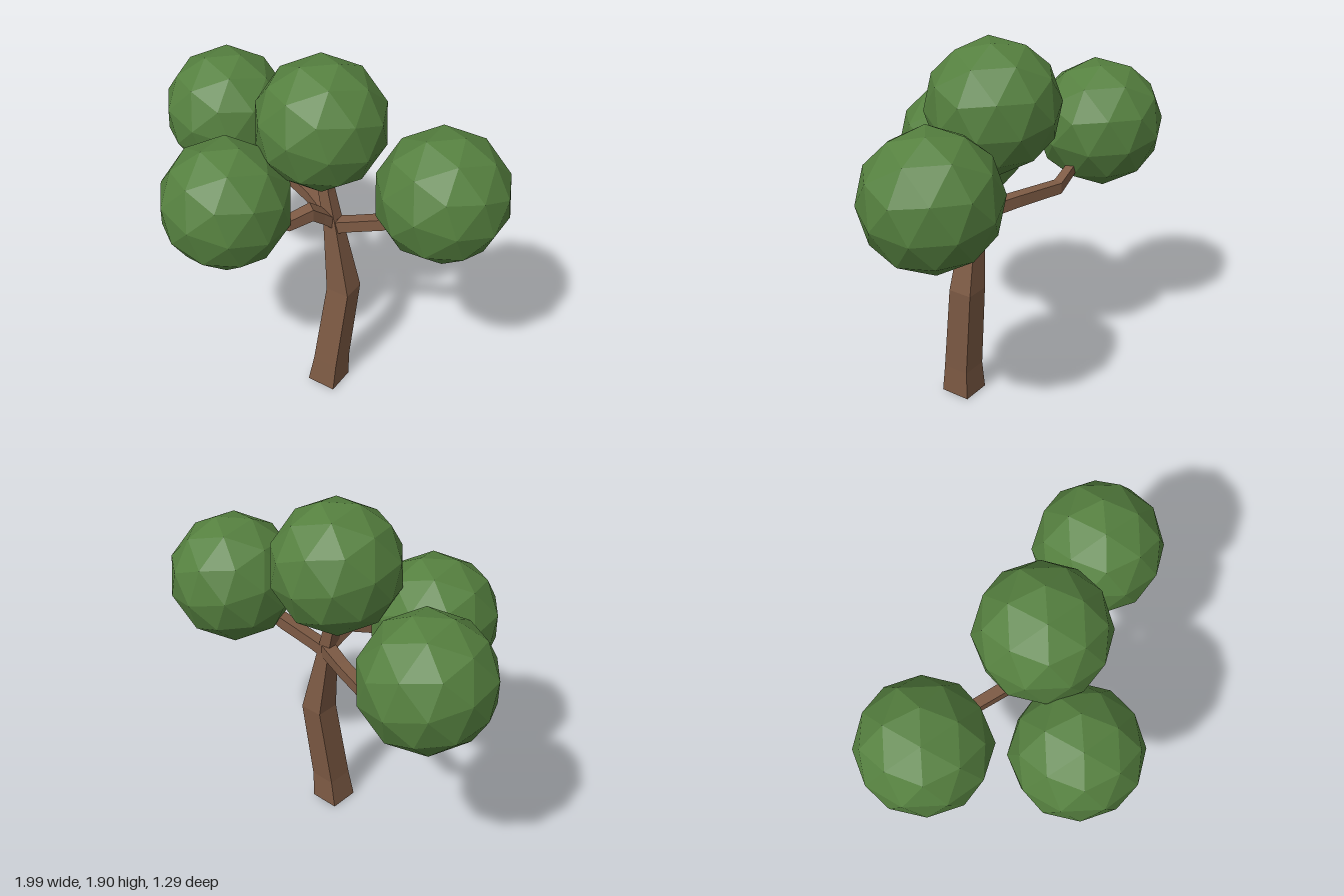
import * as THREE from 'three';

const bark = new THREE.MeshStandardMaterial({ color: 0x7d5a44, flatShading: true });
const leaf = new THREE.MeshStandardMaterial({ color: 0x55803f, flatShading: true });

// Four-sided tapering limb: each point is [x, y, z, halfWidth], section spanned by u and v
function limb(name, points, u, v) {
  const pos = [], index = [];
  const corners = [[-1, -1], [1, -1], [1, 1], [-1, 1]];
  points.forEach(([x, y, z, h], i) => {
    for (const [a, b] of corners) {
      const p = new THREE.Vector3(x, y, z).addScaledVector(u, a * h).addScaledVector(v, b * h);
      pos.push(p.x, p.y, p.z);
    }
    if (i === 0) return;
    for (let j = 0; j < 4; j++) {
      const k = (j + 1) % 4, lo = (i - 1) * 4, hi = i * 4;
      index.push(lo + j, lo + k, hi + k, lo + j, hi + k, hi + j);
    }
  });
  const e = (points.length - 1) * 4;
  index.push(0, 3, 2, 0, 2, 1, e, e + 1, e + 2, e, e + 2, e + 3);
  const indexed = new THREE.BufferGeometry();
  indexed.setAttribute('position', new THREE.Float32BufferAttribute(pos, 3));
  indexed.setIndex(index);
  const geo = indexed.toNonIndexed();
  geo.computeVertexNormals();
  const mesh = new THREE.Mesh(geo, bark);
  mesh.name = name;
  return mesh;
}

// Branch: the section stays upright and square to the overall heading
function branch(name, points) {
  const a = points[0], b = points[points.length - 1];
  const up = new THREE.Vector3(0, 1, 0);
  const heading = new THREE.Vector3(b[0] - a[0], 0, b[2] - a[2]).normalize();
  return limb(name, points, up.clone().cross(heading), up);
}

// Faceted foliage ball, turned so that one edge lies across the top
function foliageGeometry() {
  const geo = new THREE.IcosahedronGeometry(0.336, 1);
  const z = new THREE.Vector3(-0.06, 0.315, 0.09).normalize();
  const y = new THREE.Vector3(0.08, 0.325, -0.06);
  y.addScaledVector(z, -y.dot(z)).normalize();
  const x = y.clone().cross(z);
  return geo.applyMatrix4(new THREE.Matrix4().makeBasis(x, y, z));
}

export function createModel() {
  const tree = new THREE.Group();
  tree.name = 'tree';

  // Bent trunk, continuing up into the top foliage
  tree.add(limb('trunk', [
    [0.207, 0, -0.053, 0.08],
    [0.218, 0.16, -0.062, 0.07],
    [0.24, 0.64, -0.115, 0.064],
    [0.172, 1.03, -0.1, 0.037],
    [0.12, 1.22, -0.1, 0.031],
    [0.08, 1.42, -0.11, 0.026],
  ], new THREE.Vector3(0.99, 0, -0.14), new THREE.Vector3(-0.14, 0, -0.99)));

  // Three side branches
  tree.add(branch('leftBranch', [
    [0.17, 1.02, -0.1, 0.036],
    [0.26, 1.055, -0.13, 0.032],
    [0.43, 1.12, -0.19, 0.032],
    [0.58, 1.24, -0.28, 0.026],
  ]));
  tree.add(branch('rightBranch', [
    [0.18, 1.03, -0.1, 0.035],
    [-0.05, 1.06, -0.18, 0.031],
    [-0.3, 1.07, -0.24, 0.029],
    [-0.5, 1.18, -0.22, 0.024],
  ]));
  tree.add(branch('frontBranch', [
    [0.17, 1.03, -0.12, 0.036],
    [0.15, 1.1, -0.04, 0.034],
    [0.135, 1.155, 0.03, 0.034],
    [0.08, 1.12, 0.14, 0.03],
    [-0.05, 1.16, 0.24, 0.024],
  ]));

  // Foliage balls
  const ball = foliageGeometry();
  const spots = {
    rightFoliage: [-0.67, 1.32, -0.2],
    leftFoliage: [0.665, 1.33, -0.315],
    topFoliage: [0.06, 1.57, -0.12],
    frontFoliage: [-0.17, 1.215, 0.32],
  };
  for (const [name, p] of Object.entries(spots)) {
    const mesh = new THREE.Mesh(ball, leaf);
    mesh.name = name;
    mesh.position.set(...p);
    tree.add(mesh);
  }
  return tree;
}
